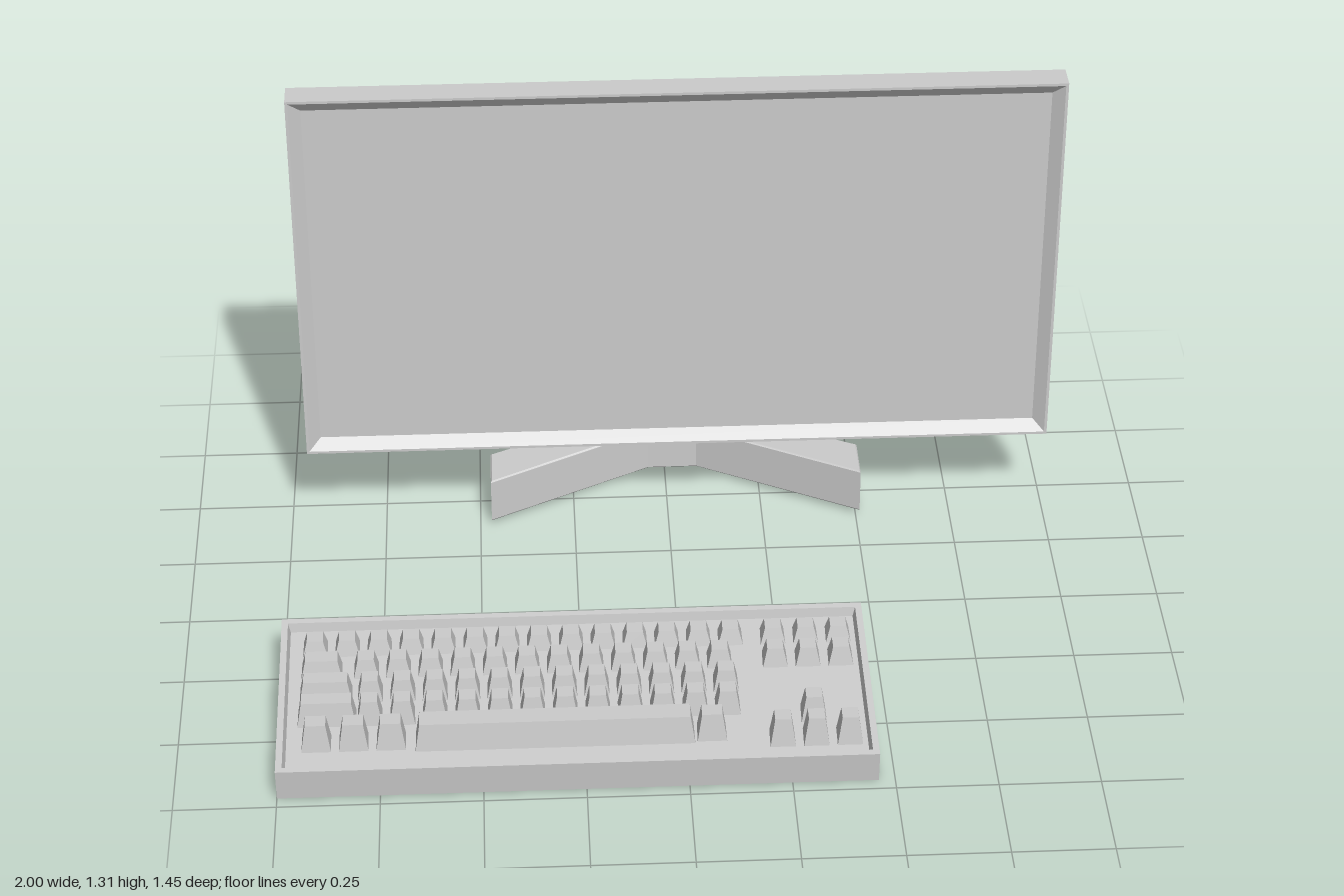
import * as THREE from 'three';

const material = new THREE.MeshStandardMaterial({ color: 0xcccccc, flatShading: true });

// Capped loft through rectangles [halfWidth, halfHeight, z]
function loftRects(rects) {
  const pos = [];
  const loops = rects.map(([w, h, z]) => [[-w, -h, z], [w, -h, z], [w, h, z], [-w, h, z]]);
  const quad = (a, b, c, d) => pos.push(...a, ...b, ...c, ...a, ...c, ...d);
  for (let i = 0; i < loops.length - 1; i++) {
    const a = loops[i], b = loops[i + 1];
    for (let k = 0; k < 4; k++) {
      const n = (k + 1) % 4;
      quad(a[k], a[n], b[n], b[k]);
    }
  }
  const s = loops[0], e = loops[loops.length - 1];
  quad(s[3], s[2], s[1], s[0]);
  quad(e[0], e[1], e[2], e[3]);
  const g = new THREE.BufferGeometry();
  g.setAttribute('position', new THREE.Float32BufferAttribute(pos, 3));
  g.computeVertexNormals();
  return g;
}

// Slab with a rim and a sunken front panel
function tray(w, h, d, rim, slope, depth) {
  const W = w / 2, H = h / 2;
  return loftRects([
    [W, H, 0], [W, H, d], [W - rim, H - rim, d],
    [W - rim - slope, H - rim - slope, d - depth],
  ]);
}

// Slightly bevelled prism, centred along its depth
function prism(points, depth) {
  const b = 0.004;
  const shape = new THREE.Shape(points.map(([x, y]) => new THREE.Vector2(x, y)));
  const g = new THREE.ExtrudeGeometry(shape, {
    depth: depth - 2 * b, bevelEnabled: true, bevelSize: b,
    bevelThickness: b, bevelOffset: -b, bevelSegments: 1,
  });
  return g.translate(0, 0, b - depth / 2);
}

function add(parent, name, geometry, x = 0, y = 0, z = 0) {
  const mesh = new THREE.Mesh(geometry, material);
  mesh.name = name;
  mesh.position.set(x, y, z);
  parent.add(mesh);
  return mesh;
}

function createMonitor() {
  const g = new THREE.Group();
  g.name = 'monitor';
  g.position.x = 0.02;
  add(g, 'screen', tray(1.946, 1.055, 0.072, 0.007, 0.03, 0.022), 0.005, 0.779, -0.452);

  // Side profiles given as [z, y]
  const mount = [[-0.45, 0.52], [-0.45, 0.768], [-0.513, 0.775], [-0.536, 0.527]];
  add(g, 'mountPlate', prism(mount, 0.322).rotateY(-Math.PI / 2), 0.005);
  const neck = [[-0.6, 0.13], [-0.517, 0.735], [-0.631, 0.735], [-0.725, 0.13]];
  add(g, 'neck', prism(neck, 0.13).rotateY(-Math.PI / 2));

  // V-shaped foot outline as [x, -z], mirrored
  const half = [[0.065, 0.61], [0.49, 0.385], [0.49, 0.515], [0.065, 0.726]];
  const outline = [...half, ...half.map(([x, z]) => [-x, z]).reverse()];
  add(g, 'foot', prism(outline, 0.127).rotateX(-Math.PI / 2), 0, 0.079);
  return g;
}

function createKeyboard() {
  const g = new THREE.Group();
  g.name = 'keyboard';
  const body = add(g, 'keyboardCase',
    tray(1.46, 0.547, 0.087, 0.016, 0.006, 0.025).rotateX(-Math.PI / 2), -0.27, 0.0245, 0.445);
  body.rotation.x = 0.0895;

  // Tapered keys rise from the sloping panel to a common height
  const top = 0.143;
  const key = (x, z, w = 0.062, d = 0.062, name = 'key') => {
    const base = 0.108 - 0.0897 * (z - 0.18);
    const geo = loftRects([[w / 2, d / 2, 0], [w / 2 - 0.011, d / 2 - 0.011, top - base]]);
    add(g, name, geo.rotateX(-Math.PI / 2), x, base, z);
  };
  const row = (x, z, count, pitch = 0.0798, w) => {
    for (let i = 0; i < count; i++) key(x + i * pitch, z, w);
  };

  // Main block
  row(-0.914, 0.265, 14);
  key(-0.896, 0.347, 0.102, 0.062, 'wideKey');
  row(-0.786, 0.347, 12);
  key(-0.884, 0.432, 0.13, 0.062, 'wideKey');
  row(-0.775, 0.432, 12);
  key(-0.88, 0.515, 0.144, 0.062, 'wideKey');
  row(-0.775, 0.515, 12);
  row(-0.904, 0.602, 3, 0.091, 0.072);
  key(-0.323, 0.604, 0.68, 0.074, 'spaceBar');
  key(0.059, 0.604, 0.072);

  // Side cluster and arrows
  row(0.23, 0.265, 3, 0.082);
  row(0.23, 0.35, 3, 0.082);
  key(0.312, 0.548);
  row(0.23, 0.631, 3, 0.082);
  return g;
}

export function createModel() {
  const model = new THREE.Group();
  model.name = 'desktopSet';
  model.add(createMonitor(), createKeyboard());
  return model;
}
